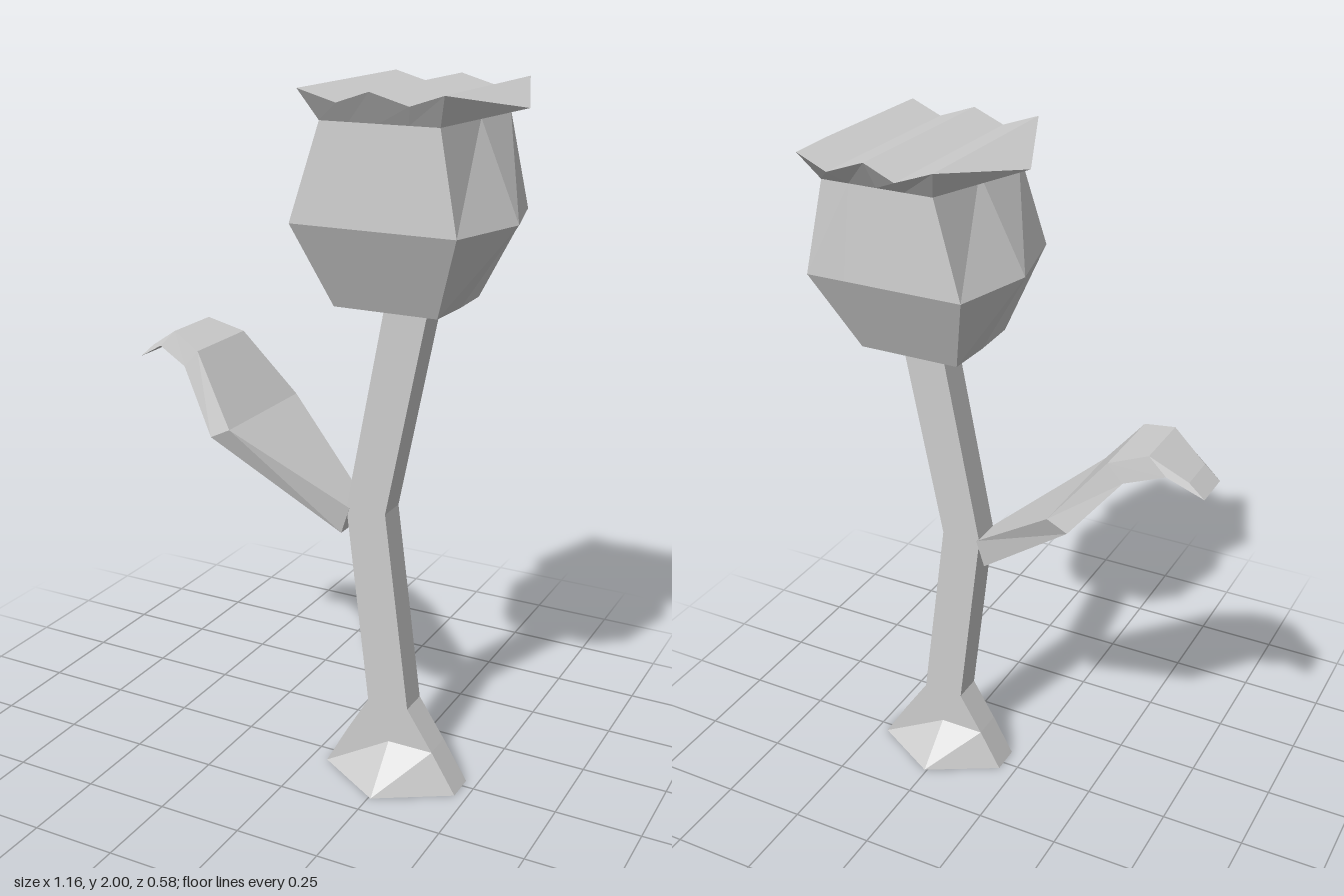
import * as THREE from 'three';

const grey = new THREE.MeshStandardMaterial({ color: 0xcccccc });
grey.name = 'plainGrey';

// Flat-faced skin through equal-sized rings of [x, y, z]; caps are fans unless a list is given.
function loft(name, rings, topFaces) {
  const pos = [];
  const tri = (a, b, c) => pos.push(...a, ...b, ...c);
  const n = rings[0].length;
  for (let r = 0; r < rings.length - 1; r++) {
    const lo = rings[r], hi = rings[r + 1];
    for (let i = 0; i < n; i++) {
      const j = (i + 1) % n;
      tri(lo[i], lo[j], hi[j]);
      tri(lo[i], hi[j], hi[i]);
    }
  }
  const first = rings[0], last = rings[rings.length - 1];
  for (let i = 1; i < n - 1; i++) {
    tri(first[0], first[i + 1], first[i]);
    if (!topFaces) tri(last[0], last[i], last[i + 1]);
  }
  if (topFaces) topFaces.forEach(([a, b, c]) => tri(last[a], last[b], last[c]));
  const geo = new THREE.BufferGeometry();
  geo.setAttribute('position', new THREE.Float32BufferAttribute(pos, 3));
  geo.computeVertexNormals();
  const mesh = new THREE.Mesh(geo, grey);
  mesh.name = name;
  return mesh;
}

// Stem ring: a rectangle whose front and back middles can bulge out
function stemRing(y, x0, x1, front = 0.058, back = -0.03) {
  const m = (x0 + x1) / 2;
  return [[x0, y, 0.058], [m, y, front], [x1, y, 0.058],
    [x1, y, -0.03], [m, y, back], [x0, y, -0.03]];
}

// Bud ring: five points along the front, a side tip, five along the back, a side tip
function budRing(y, x0, x1, tip0, tip1, front, back, wave = 0, tipY = y) {
  const dip = k => (k % 2 ? wave : 0);
  const at = (k, z) => [x0 + (x1 - x0) * k / 4, y - dip(k) * 1.75, z - dip(k)];
  const ks = [0, 1, 2, 3, 4];
  return [...ks.map(k => at(k, front)), [tip1, tipY, 0.005],
    ...ks.map(k => at(4 - k, back)), [tip0, tipY, 0.005]];
}

export function createModel() {
  const model = new THREE.Group();
  model.name = 'flower';

  // Bent stem with a flared foot
  model.add(loft('stem', [
    stemRing(0, 0.05, 0.465, 0.185, -0.145),
    stemRing(0.12, 0.115, 0.39),
    stemRing(0.24, 0.185, 0.31),
    stemRing(0.83, 0.11, 0.23),
    stemRing(1.425, 0.22, 0.345),
  ]));

  // Drooping leaf: top edge, bottom edge, back and front z
  const leaf = [
    [0.12, 0.83, 0.095, 0.75, -0.03, 0.06],
    [-0.175, 1.06, -0.235, 1.03, -0.17, 0.213],
    [-0.325, 1.245, -0.37, 1.195, -0.122, 0.13],
    [-0.43, 1.28, -0.48, 1.23, -0.098, 0.085],
    [-0.535, 1.215, -0.58, 1.175, -0.073, 0.042],
  ];
  model.add(loft('leaf', leaf.map(([tx, ty, bx, by, z0, z1]) =>
    [[bx, by, z0], [bx, by, z1], [tx, ty, z1], [tx, ty, z0]])));

  // Six-sided bud
  const neck = budRing(1.92, 0.12, 0.445, 0.112, 0.453, 0.24, -0.22);
  model.add(loft('bud', [
    budRing(1.43, 0.115, 0.41, 0.11, 0.415, 0.148, -0.13),
    budRing(1.66, 0.04, 0.5, -0.02, 0.565, 0.253, -0.235),
    neck,
  ]));

  // Wavy petal rim closed by folded strips running front to back
  const folds = [[4, 5, 6], [0, 10, 11]];
  for (let k = 0; k < 4; k++) folds.push([k, k + 1, 9 - k], [k, 9 - k, 10 - k]);
  model.add(loft('petalRim', [
    neck,
    budRing(2, 0.085, 0.475, -0.035, 0.58, 0.29, -0.277, 0.018, 1.95),
  ], folds));

  return model;
}
